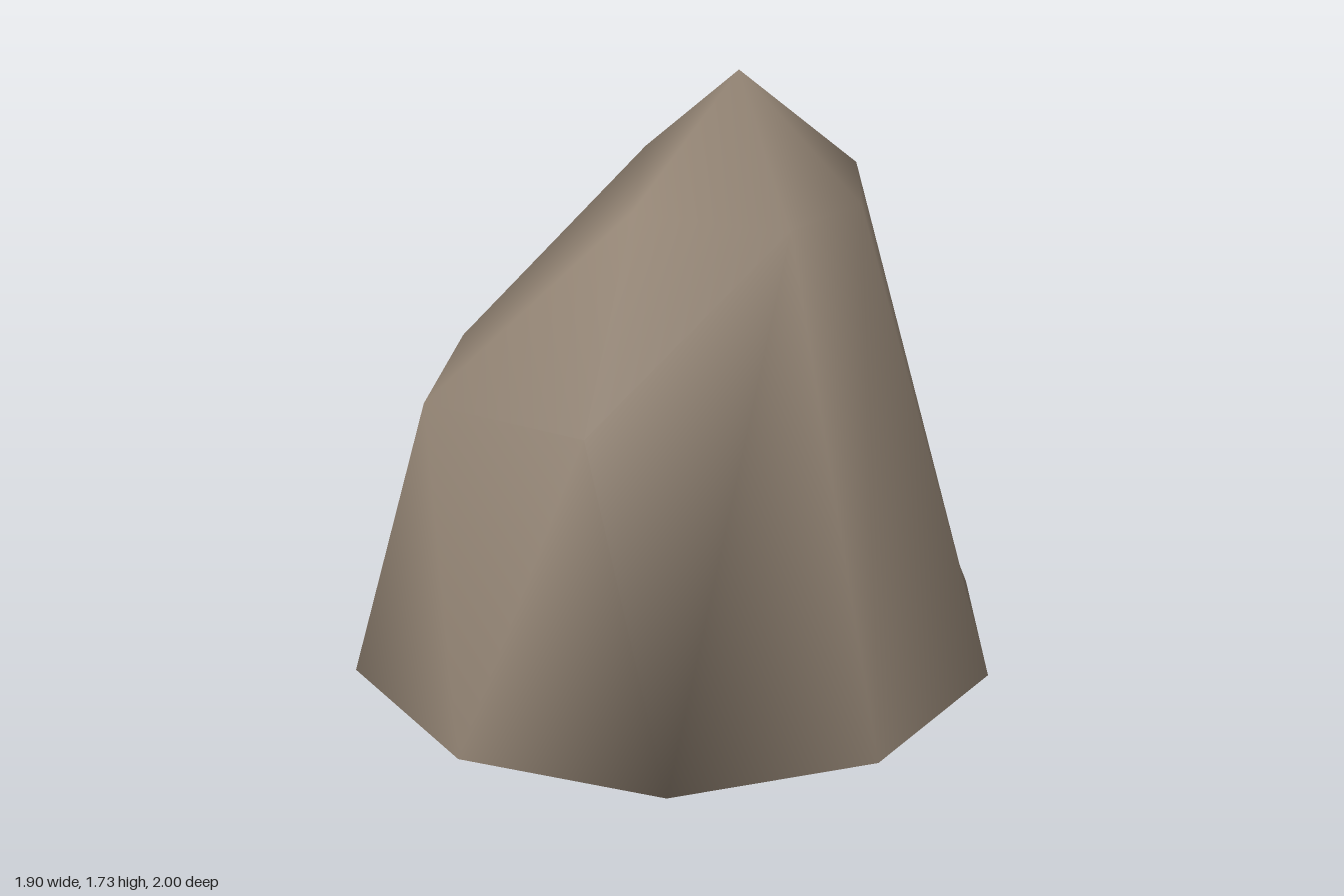
import * as THREE from 'three';

// Smooth-shaded, ten-sided boulder with a slanted, ridged crown.
export function createModel() {
  const group = new THREE.Group();
  group.name = 'boulder';
  const stone = new THREE.MeshStandardMaterial({ color: 0x938474 });
  stone.name = 'stone';

  const index = {};
  const positions = [];
  const faces = [];
  const point = (name, x, y, z) => {
    index[name] = positions.length / 3;
    positions.push(x, y, z);
  };
  // Triangles from one corner to each step of a chain of points
  const fan = (centre, chain) => {
    const c = chain.split(' ');
    for (let i = 0; i < c.length - 1; i++) faces.push(index[c[i]], index[c[i + 1]], index[centre]);
  };

  // Base ring, counted from the front towards +x, with one lifted corner at the back
  for (let i = 0; i < 10; i++) {
    const a = (i * Math.PI) / 5;
    if (i === 5) point('p5', -0.13, 0.04, -1);
    else point('p' + i, Math.sin(a), 0, Math.cos(a));
  }

  // Shoulders
  point('frontShoulder', -0.22, 0.98, 0.82);
  point('sideShoulder', -0.7, 0.9, 0.38);
  point('backShoulder', -0.65, 0.89, -0.2);
  point('hollow', 0.61, 0.9, -0.06);
  point('neck', 0.26, 1.45, -0.185);

  // Crown
  point('peak', 0.19, 1.73, -0.19);
  point('crownBack', -0.08, 1.54, -0.04);
  point('crownSide', -0.1, 1.5, 0.47);
  point('crownFront', 0.32, 1.49, 0.605);
  point('crownCorner', 0.52, 1.5, 0.4);
  point('crownEdge', 0.53, 1.5, -0.02);

  // Front and side walls
  fan('frontShoulder', 'p9 p0 crownFront crownSide sideShoulder p9');
  fan('crownFront', 'p0 p1 crownCorner');
  fan('crownCorner', 'p1 p2 crownEdge');
  fan('hollow', 'p2 p3 neck crownEdge p2');
  fan('sideShoulder', 'p8 p9');

  // Back walls
  fan('neck', 'p3 p4 p5 crownBack peak crownEdge');
  fan('crownBack', 'p5 p6');
  fan('crownBack', 'sideShoulder crownSide');
  fan('backShoulder', 'p6 p7 p8 sideShoulder crownBack p6');

  // Slanted top and underside
  fan('peak', 'crownBack crownSide crownFront crownCorner crownEdge');
  fan('p0', 'p9 p8 p7 p6 p4 p3 p2 p1');
  fan('p4', 'p6 p5');

  const geometry = new THREE.BufferGeometry();
  geometry.setAttribute('position', new THREE.Float32BufferAttribute(positions, 3));
  geometry.setIndex(faces);
  geometry.computeVertexNormals();

  const rock = new THREE.Mesh(geometry, stone);
  rock.name = 'rock';
  group.add(rock);
  return group;
}
